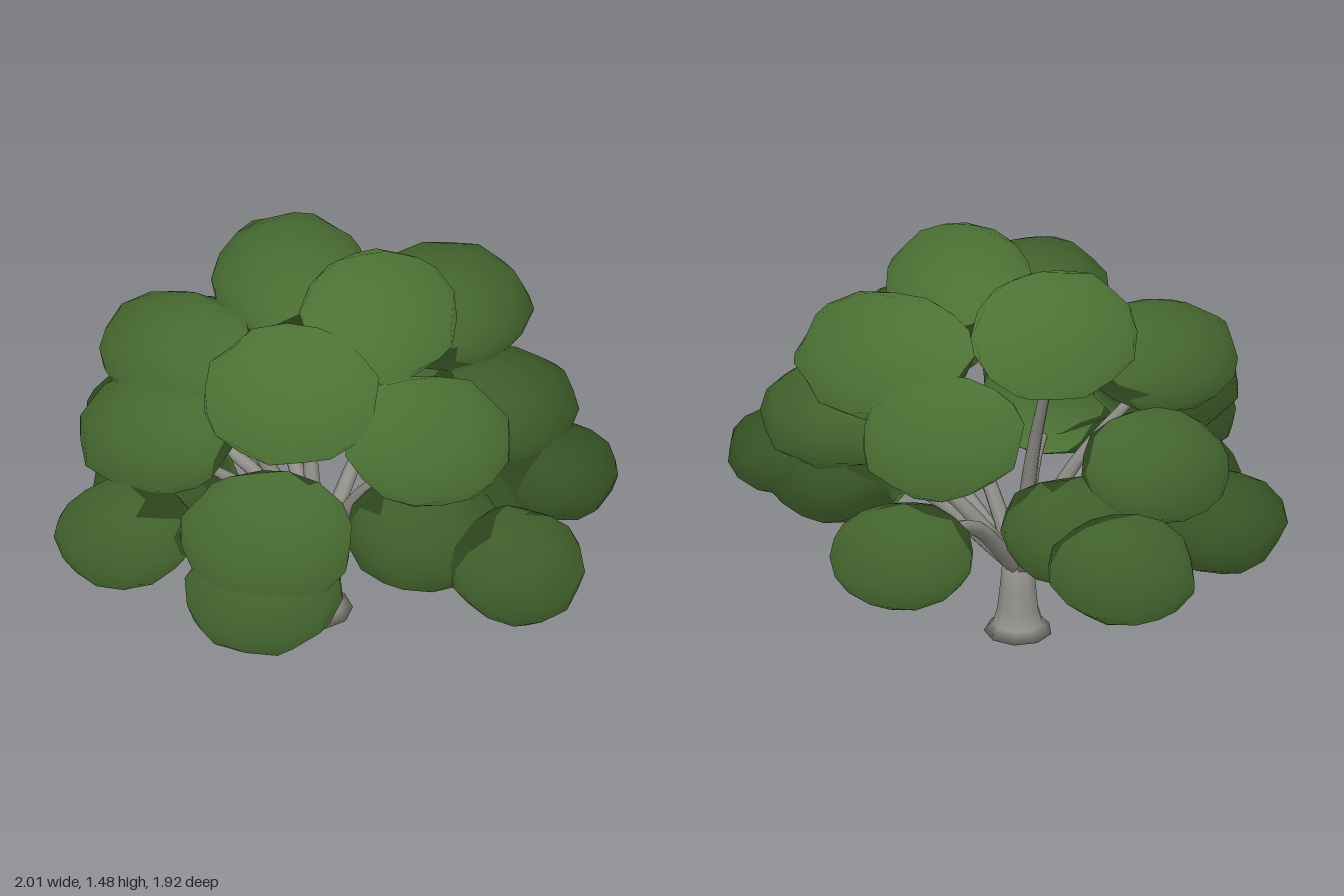
import * as THREE from 'three';
import { mergeVertices } from 'three/addons/utils/BufferGeometryUtils.js';

// Foliage clumps: centre x, y, z then radii x, y, z
const crown = [
  [0.18, 1.27, 0.03, 0.25, 0.20, 0.24],
  [0.23, 1.13, -0.38, 0.28, 0.20, 0.28],
  [-0.27, 1.21, -0.17, 0.26, 0.20, 0.27],
  [0.09, 1.16, 0.43, 0.27, 0.19, 0.26],
];
const middle = [
  [-0.47, 1.06, 0.23, 0.27, 0.18, 0.25],
  [0.46, 1.00, 0.23, 0.26, 0.18, 0.26],
  [0.49, 0.86, -0.28, 0.25, 0.18, 0.26],
  [-0.41, 0.89, 0.46, 0.26, 0.18, 0.25],
  [0.11, 0.75, 0.63, 0.27, 0.19, 0.25],
  [-0.07, 0.96, -0.55, 0.25, 0.18, 0.25],
  [-0.63, 0.83, -0.17, 0.23, 0.17, 0.24],
];
const lower = [
  [-0.36, 0.67, 0.73, 0.22, 0.15, 0.22],
  [0.14, 0.61, 0.70, 0.24, 0.17, 0.24],
  [0.79, 0.63, 0.23, 0.21, 0.17, 0.21],
  [0.70, 0.68, -0.26, 0.22, 0.15, 0.22],
  [-0.03, 0.63, -0.74, 0.22, 0.15, 0.22],
  [-0.66, 0.61, -0.49, 0.22, 0.16, 0.21],
  [-0.79, 0.60, 0.01, 0.21, 0.16, 0.22],
];
const inner = [
  [0.44, 0.61, 0.18, 0.25, 0.17, 0.25],
  [0.52, 0.61, -0.22, 0.25, 0.16, 0.25],
  [-0.42, 0.61, -0.30, 0.25, 0.16, 0.23],
  [-0.48, 0.59, 0.34, 0.25, 0.16, 0.25],
];
const crownCentre = new THREE.Vector3(0, 0.82, 0);

function seeded(seed) {
  let s = seed;
  return () => (s = (s * 16807) % 2147483647) / 2147483647;
}

// Lumpy low-poly ellipsoid; its normals fan out from the crown centre for soft foliage shading
function clumpGeometry([x, y, z, rx, ry, rz], rand) {
  let g = new THREE.IcosahedronGeometry(1, 2);
  g.deleteAttribute('uv');
  g.deleteAttribute('normal');
  g = mergeVertices(g, 1e-3);
  g.rotateY(rand() * 6.28);
  const p = g.attributes.position;
  for (let i = 0; i < p.count; i++) {
    const k = 0.97 + rand() * 0.09;
    p.setXYZ(i, p.getX(i) * rx * k, p.getY(i) * ry * k, p.getZ(i) * rz * k);
  }
  g.translate(x, y, z);
  g.computeVertexNormals();
  const n = g.attributes.normal, own = new THREE.Vector3(), out = new THREE.Vector3();
  for (let i = 0; i < p.count; i++) {
    own.fromBufferAttribute(n, i);
    out.fromBufferAttribute(p, i).sub(crownCentre).normalize();
    out.multiplyScalar(0.85).addScaledVector(own, 0.15).normalize();
    n.setXYZ(i, out.x, out.y, out.z);
  }
  return g;
}

// Tube narrowed along its length
function branchGeometry(points, r0, r1) {
  const curve = new THREE.CatmullRomCurve3(points);
  const steps = 10, sides = 7;
  const g = new THREE.TubeGeometry(curve, steps, 1, sides);
  const p = g.attributes.position, v = new THREE.Vector3();
  for (let i = 0; i < p.count; i++) {
    const t = Math.floor(i / (sides + 1)) / steps;
    const c = curve.getPointAt(t);
    v.fromBufferAttribute(p, i).sub(c).multiplyScalar(r0 + (r1 - r0) * t).add(c);
    p.setXYZ(i, v.x, v.y, v.z);
  }
  return g;
}

export function createModel() {
  const tree = new THREE.Group();
  tree.name = 'tree';
  const leaf = new THREE.MeshStandardMaterial({ color: 0x4b7034 });
  leaf.name = 'leaf green';
  const bark = new THREE.MeshStandardMaterial({ color: 0x93918a, side: THREE.DoubleSide });
  bark.name = 'bark grey';
  const rand = seeded(4711);

  // Flared trunk
  const profile = [[0, 0], [0.125, 0], [0.092, 0.035], [0.076, 0.09], [0.066, 0.18], [0.056, 0.29], [0, 0.32]];
  const trunk = new THREE.Mesh(
    new THREE.LatheGeometry(profile.map(([x, y]) => new THREE.Vector2(x, y)), 9), bark);
  trunk.name = 'trunk';
  trunk.position.set(-0.04, 0, 0.045);
  tree.add(trunk);

  // Foliage
  const foliage = new THREE.Group();
  foliage.name = 'foliage';
  for (const c of [...crown, ...middle, ...lower, ...inner]) {
    const clump = new THREE.Mesh(clumpGeometry(c, rand), leaf);
    clump.name = 'leafClump';
    foliage.add(clump);
  }
  tree.add(foliage);

  // Branches rise from the fork into the foliage
  const branches = new THREE.Group();
  branches.name = 'branches';
  const fork = new THREE.Vector3(-0.04, 0.29, 0.045);
  const along = (x, z, t, y) =>
    new THREE.Vector3(fork.x + (x - fork.x) * t, y, fork.z + (z - fork.z) * t);
  const addBranch = (points) => {
    const branch = new THREE.Mesh(branchGeometry(points, 0.035, 0.014), bark);
    branch.name = 'branch';
    branches.add(branch);
  };
  // Upright branches bend outward at the top
  for (const [x, y, z] of [crown[2], ...middle.slice(0, 4)]) {
    addBranch([along(x, z, 0.03, 0.27), along(x, z, 0.4, 0.27 + (y - 0.27) * 0.47), along(x, z, 1, y - 0.06)]);
  }
  // Low branches run inside the clumps, only their tips poke out beneath
  for (const [x, y, z, , ry] of lower) {
    addBranch([along(x, z, 0.03, 0.27), along(x, z, 0.45, 0.55), along(x, z, 0.82, y - 0.04),
      along(x, z, 1.04, y - ry * 1.02)]);
  }
  tree.add(branches);

  return tree;
}
